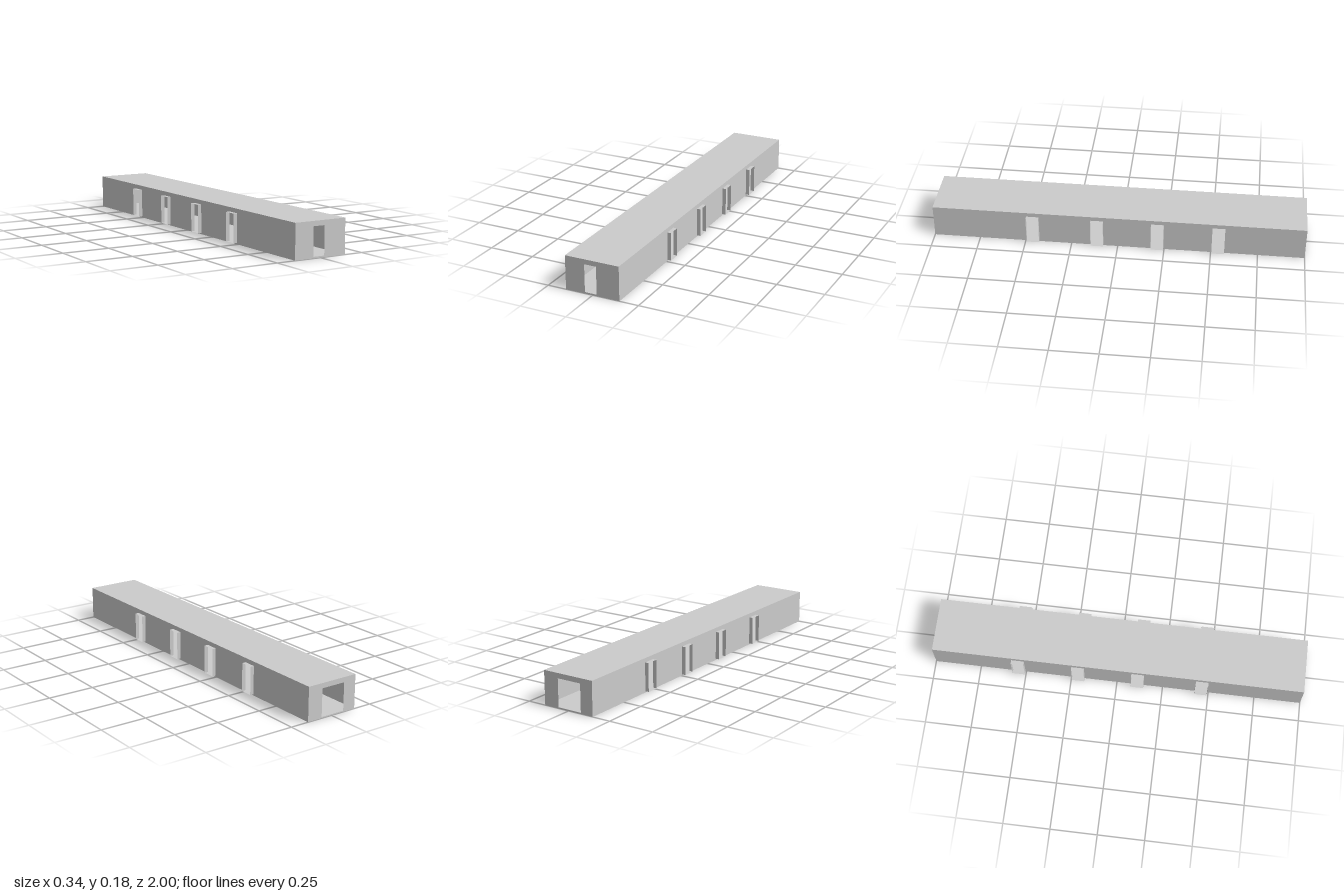
import * as THREE from 'three';

const X0 = -0.148, X1 = 0.147, Y0 = 0.001, Y1 = 0.183, Z = 1;
const WINDOWS = [0.459, 0.112, -0.212, -0.538]; // centres along z
const HALF = 0.034, SILL = 0.008, HEAD = 0.16, DEPTH = 0.021;

const material = new THREE.MeshStandardMaterial({
  color: 0xcccccc, side: THREE.DoubleSide, flatShading: true,
});

function addMesh(parent, name, geometry) {
  const mesh = new THREE.Mesh(geometry, material);
  mesh.name = name;
  parent.add(mesh);
  return mesh;
}

function rectangle(path, x0, x1, y0, y1) {
  path.moveTo(x0, y0);
  path.lineTo(x1, y0);
  path.lineTo(x1, y1);
  path.lineTo(x0, y1);
  path.closePath();
  return path;
}

// Thin upright panel with rectangular openings [x0, x1, y0, y1]
function panel(x0, x1, openings) {
  const shape = rectangle(new THREE.Shape(), x0, x1, Y0, Y1);
  for (const o of openings) shape.holes.push(rectangle(new THREE.Path(), ...o));
  return new THREE.ShapeGeometry(shape);
}

// Thin open sleeve around a window, swept along x from xa to xb
function sleeve(xa, xb, zc) {
  const loop = [
    [SILL, zc + HALF], [SILL, zc - HALF], [HEAD, zc - HALF], [HEAD, zc + HALF],
  ];
  const pos = [];
  loop.forEach(([y, z], i) => {
    const [yn, zn] = loop[(i + 1) % 4];
    pos.push(xa, y, z, xb, y, z, xb, yn, zn, xa, y, z, xb, yn, zn, xa, yn, zn);
  });
  const g = new THREE.BufferGeometry();
  g.setAttribute('position', new THREE.Float32BufferAttribute(pos, 3));
  g.computeVertexNormals();
  return g;
}

export function createModel() {
  const model = new THREE.Group();
  model.name = 'corridor';

  // End walls: a narrow doorway in front, a wide one at the back
  addMesh(model, 'frontWall', panel(X0, X1, [[-0.042, 0.023, 0.009, 0.157]])).position.z = Z;
  addMesh(model, 'backWall', panel(X0, X1, [[-0.076, 0.062, 0.007, 0.156]])).position.z = -Z;

  // Roof and floor
  for (const [name, y] of [['roof', Y1], ['floor', Y0]]) {
    const slab = addMesh(model, name, new THREE.PlaneGeometry(X1 - X0, 2 * Z).rotateX(-Math.PI / 2));
    slab.position.set((X0 + X1) / 2, y, 0);
  }

  // Long side walls with projecting window sleeves
  for (const [side, x, dir] of [['left', X1, 1], ['right', X0, -1]]) {
    const openings = WINDOWS.map((z) => [-z - HALF, -z + HALF, SILL, HEAD]);
    const wall = addMesh(model, side + 'Wall', panel(-Z, Z, openings));
    wall.rotation.y = Math.PI / 2;
    wall.position.x = x;
    WINDOWS.forEach((z, i) => {
      addMesh(model, `${side}WindowFrame${i + 1}`, sleeve(x, x + dir * DEPTH, z));
    });
  }
  return model;
}
